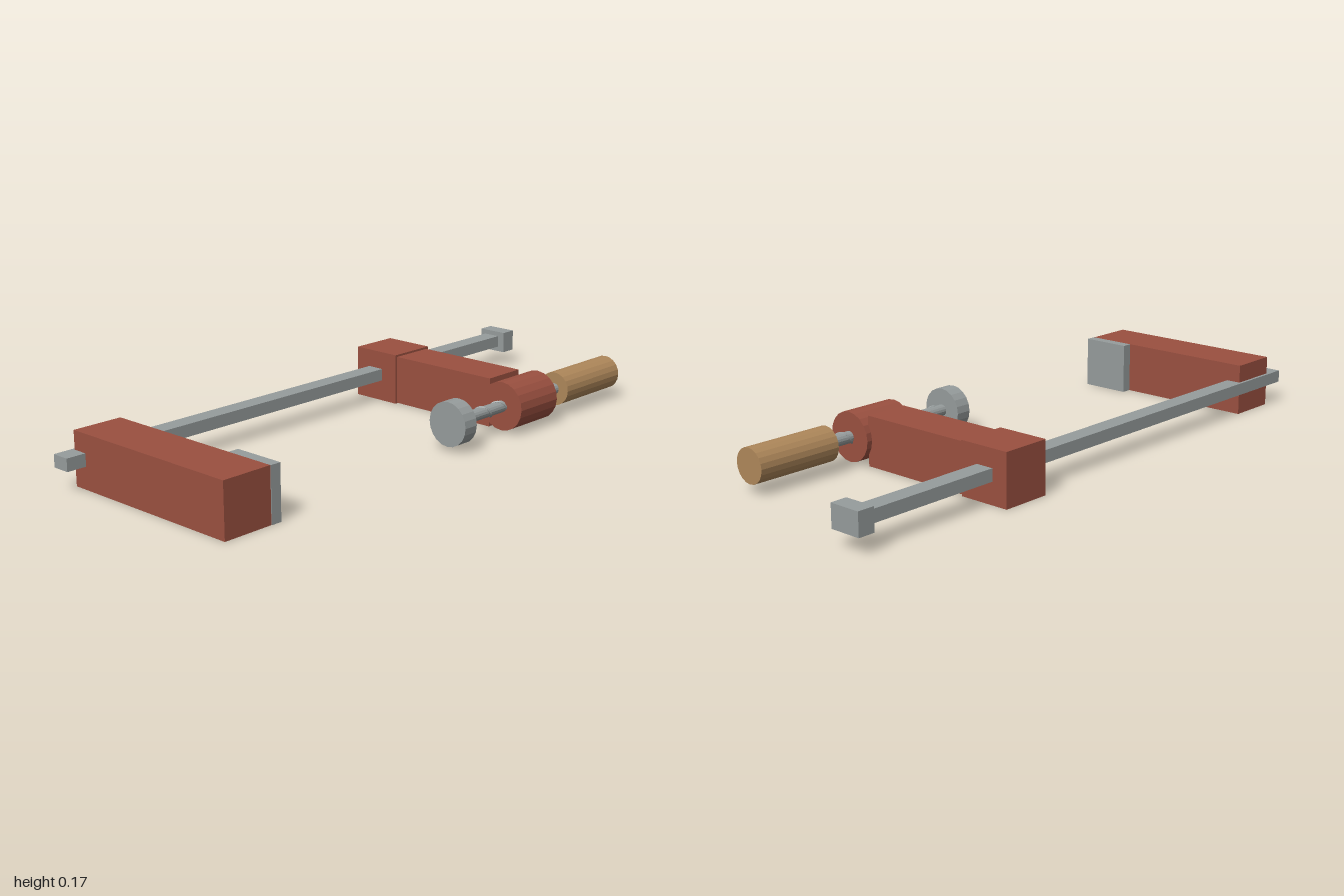
import * as THREE from 'three';

const paint = (name, color) => {
  const m = new THREE.MeshStandardMaterial({ color, flatShading: true });
  m.name = name;
  return m;
};

export function createModel() {
  const group = new THREE.Group();
  group.name = 'barClamp';
  const red = paint('red paint', 0x9a5040);
  const steel = paint('grey steel', 0x969c9c);
  const wood = paint('wood', 0xae875a);

  const add = (name, geometry, material) => {
    const mesh = new THREE.Mesh(geometry, material);
    mesh.name = name;
    group.add(mesh);
    return mesh;
  };
  // box from its extents along each axis
  const box = (name, mat, [x0, x1], [y0, y1], [z0, z1]) =>
    add(name, new THREE.BoxGeometry(x1 - x0, y1 - y0, z1 - z0), mat)
      .position.set((x0 + x1) / 2, (y0 + y1) / 2, (z0 + z1) / 2);

  // everything round shares the screw axis, parallel to x
  const axisY = 0.087, axisZ = 0.279;
  const round = (name, mat, x0, x1, r, sides = 20) => {
    const g = new THREE.CylinderGeometry(r, r, x1 - x0, sides).rotateZ(-Math.PI / 2);
    add(name, g, mat).position.set((x0 + x1) / 2, axisY, axisZ);
  };

  // rail with its end stop
  box('rail', steel, [-1, 0.945], [0.071, 0.111], [-0.306, -0.246]);
  box('endStop', steel, [0.945, 1], [0.054, 0.127], [-0.325, -0.22]);

  // fixed jaw and its pad
  box('fixedJaw', red, [-0.935, -0.768], [0, 0.17], [-0.296, 0.34]);
  box('fixedJawPad', steel, [-0.768, -0.733], [0, 0.17], [0.175, 0.342]);

  // sliding jaw
  box('slider', red, [0.31, 0.476], [0, 0.17], [-0.36, -0.185]);
  box('slidingArm', red, [0.318, 0.468], [0.002, 0.163], [-0.185, 0.215]);
  round('screwCollar', red, 0.3, 0.487, 0.08);

  // screw, pressure foot and handle
  round('screwRod', steel, 0.08, 0.59, 0.019, 16);
  round('pressureFoot', steel, 0.033, 0.087, 0.072);
  round('handle', wood, 0.58, 0.873, 0.056);

  // helical thread around the rod
  const points = [];
  const start = 0.12, end = 0.57, pitch = 0.08, stepsPerTurn = 12;
  const count = Math.round(((end - start) / pitch) * stepsPerTurn);
  for (let i = 0; i <= count; i++) {
    const t = (i / stepsPerTurn) * Math.PI * 2;
    points.push(new THREE.Vector3(
      start + (i / stepsPerTurn) * pitch,
      axisY + Math.cos(t) * 0.019,
      axisZ + Math.sin(t) * 0.019));
  }
  add('screwThread', new THREE.TubeGeometry(new THREE.CatmullRomCurve3(points), 140, 0.004, 6), steel);

  return group;
}
